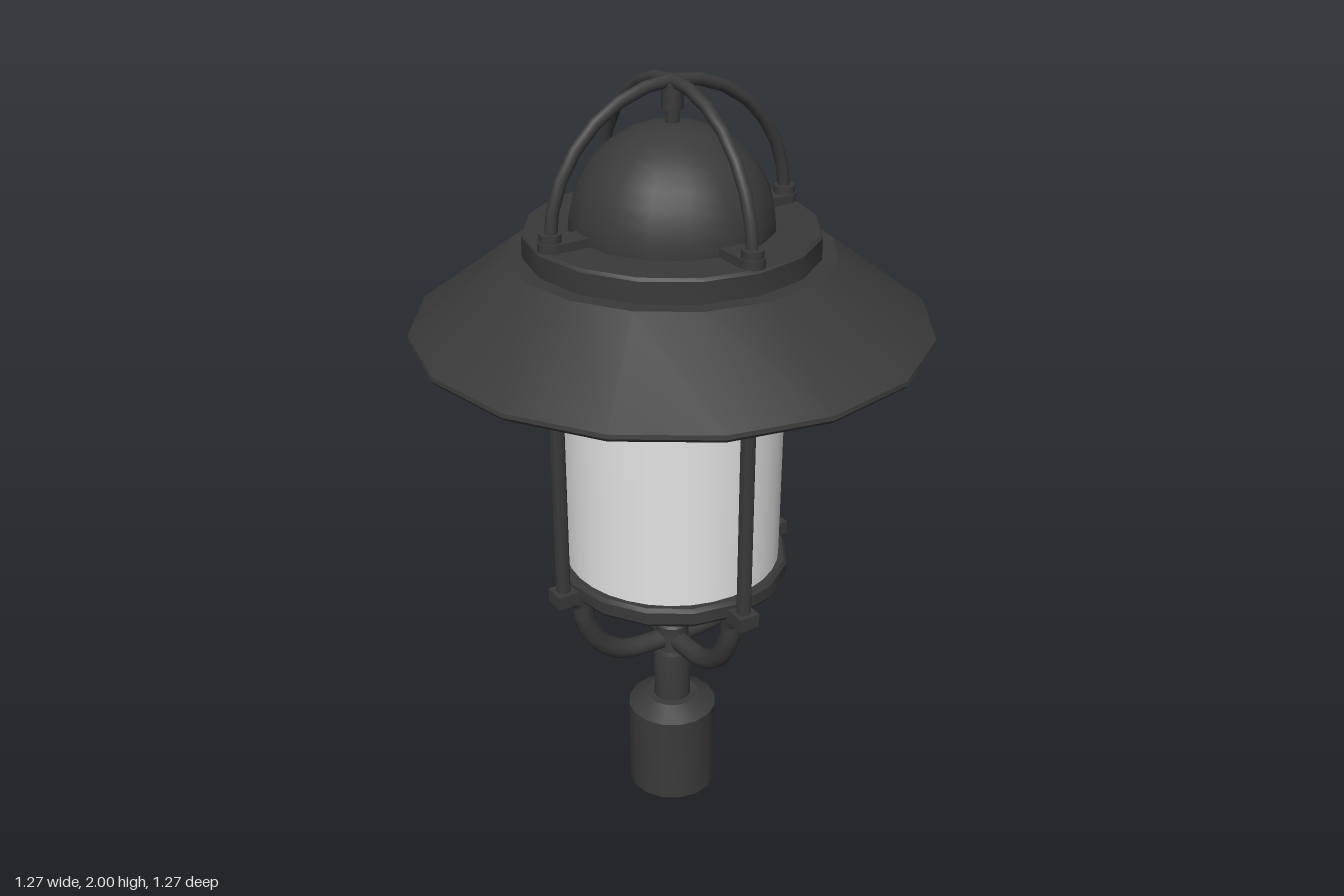
import * as THREE from 'three';
import { toCreasedNormals } from 'three/addons/utils/BufferGeometryUtils.js';

const v2 = (p) => new THREE.Vector2(p[0], p[1]);
const v3 = (p) => new THREE.Vector3(p[0], p[1], 0);

export function createModel() {
  const model = new THREE.Group();
  model.name = 'lantern';

  const iron = new THREE.MeshStandardMaterial({ color: 0x3a3a3a });
  iron.name = 'dark iron';
  const pale = new THREE.MeshStandardMaterial({ color: 0xe4e4e4, side: THREE.DoubleSide });
  pale.name = 'pale glass';

  function add(parent, name, geometry, material = iron, x = 0, y = 0) {
    const mesh = new THREE.Mesh(geometry, material);
    mesh.name = name;
    mesh.position.set(x, y, 0);
    parent.add(mesh);
    return mesh;
  }
  // Turned part with crisp edges between its profile bands
  const turned = (points, sides = 16) =>
    toCreasedNormals(new THREE.LatheGeometry(points.map(v2), sides), 0.5);
  const rod = (r, h, sides = 12) => toCreasedNormals(new THREE.CylinderGeometry(r, r, h, sides), 0.7);

  // Base socket and stem
  add(model, 'base', turned([
    [0, 0], [0.11, 0], [0.12, 0.012], [0.12, 0.265], [0.07, 0.295], [0, 0.295],
  ]));
  add(model, 'stem', turned([
    [0, 0.29], [0.05, 0.29], [0.05, 0.44], [0.045, 0.45], [0.045, 0.525], [0.035, 0.535], [0, 0.535],
  ]));

  // Ring that holds the glass
  add(model, 'lowerRing', turned([
    [0.262, 0.705], [0.295, 0.705], [0.302, 0.715], [0.302, 0.747],
    [0.295, 0.757], [0.262, 0.757], [0.262, 0.705],
  ]));

  // Open glass tube
  add(model, 'glass', new THREE.CylinderGeometry(0.282, 0.278, 0.9, 32, 1, true), pale, 0, 1.18);

  // Shade with its collar, and the pale lining beneath
  add(model, 'shade', turned([
    [0.612, 1.392], [0.63, 1.39], [0.636, 1.398], [0.634, 1.408], [0.395, 1.585],
    [0.356, 1.585], [0.356, 1.638], [0.35, 1.645], [0, 1.645],
  ]));
  add(model, 'shadeLining', turned([
    [0, 1.63], [0.335, 1.63], [0.335, 1.572], [0.385, 1.572], [0.612, 1.392],
  ]), pale);

  // Dome and the short post up to the cage
  add(model, 'dome', new THREE.SphereGeometry(0.247, 16, 10, 0, Math.PI * 2, 0, Math.PI / 2), iron, 0, 1.643);
  add(model, 'domePost', rod(0.016, 0.1), iron, 0, 1.93);
  add(model, 'postCap', rod(0.025, 0.06), iron, 0, 1.95);

  // Four identical sides: rod, clips, curved arm and cage foot
  const armPath = new THREE.CatmullRomCurve3([
    [0.3, 0.715], [0.276, 0.69], [0.268, 0.63], [0.225, 0.545], [0.155, 0.494], [0.08, 0.482], [0, 0.482],
  ].map(v3));
  const armGeometry = new THREE.TubeGeometry(armPath, 16, 0.027, 10);
  const rodGeometry = rod(0.018, 0.88);
  const clipGeometry = new THREE.BoxGeometry(0.065, 0.036, 0.056);
  const footGeometry = new THREE.BoxGeometry(0.12, 0.022, 0.06);
  const footEnd = rod(0.03, 0.022);
  const socketGeometry = rod(0.026, 0.04);
  for (let i = 0; i < 4; i++) {
    const side = new THREE.Group();
    side.name = 'frameSide' + (i + 1);
    side.rotation.y = i * Math.PI / 2;
    add(side, 'uprightRod', rodGeometry, iron, 0.327, 1.15);
    add(side, 'rodClip', clipGeometry, iron, 0.322, 0.719);
    add(side, 'lowerArm', armGeometry);
    add(side, 'cageFoot', footGeometry, iron, 0.265, 1.655);
    add(side, 'cageFootEnd', footEnd, iron, 0.325, 1.655);
    add(side, 'cageSocket', socketGeometry, iron, 0.325, 1.665);
    model.add(side);
  }

  // Two crossed hoops over the dome
  const hoopGeometry = new THREE.TorusGeometry(0.325, 0.015, 10, 14, Math.PI);
  for (let i = 0; i < 2; i++) {
    add(model, 'cageHoop' + (i + 1), hoopGeometry, iron, 0, 1.66).rotation.y = i * Math.PI / 2;
  }

  return model;
}
